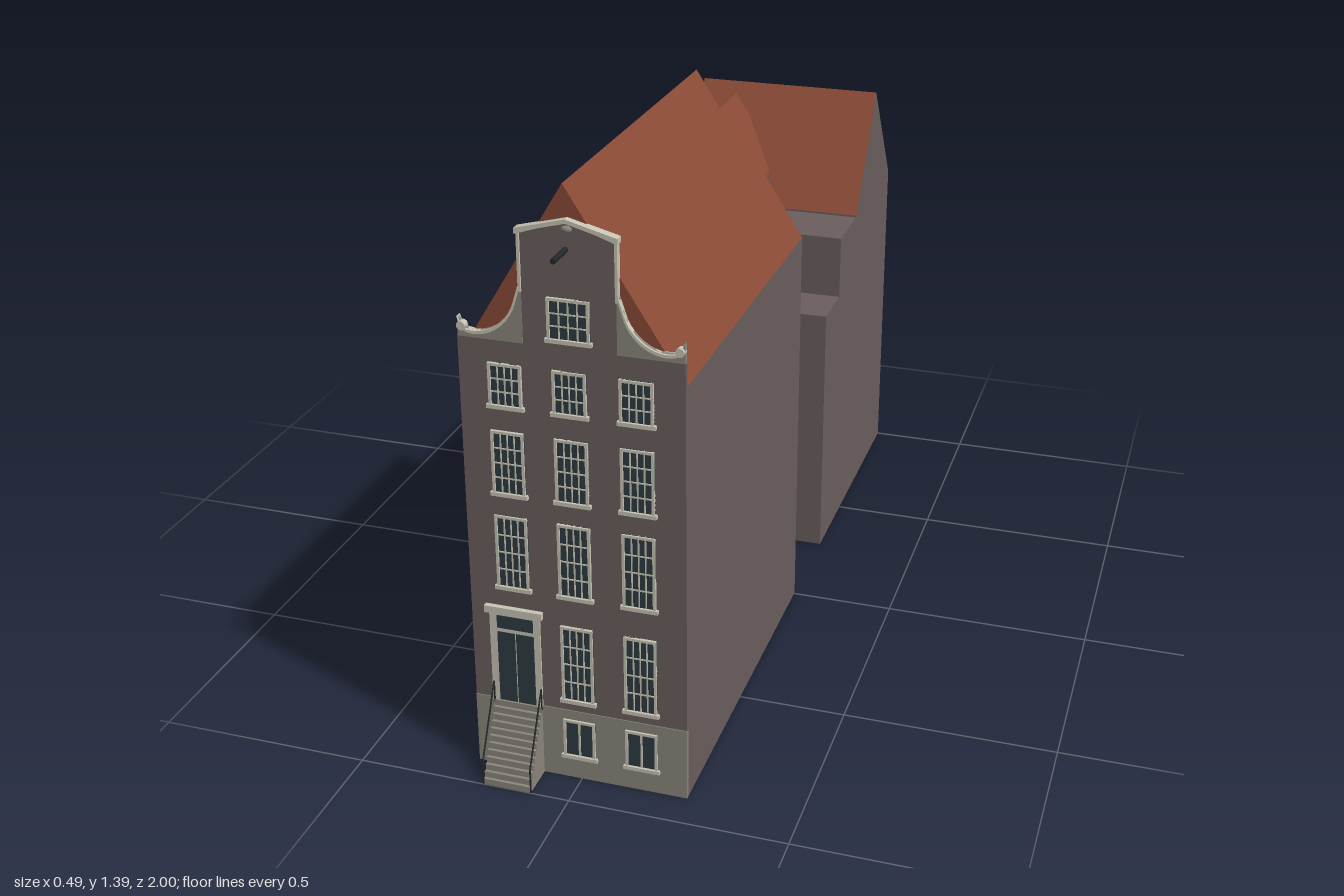
import * as THREE from 'three';

const mat = (name, color) => Object.assign(new THREE.MeshStandardMaterial({ color }), { name });

export function createModel() {
  const brick = mat('brick', 0x6b5e5e);
  const tile = mat('roofTile', 0x8b4b37);
  const stone = mat('stone', 0x8b877b);
  const trim = mat('paintedTrim', 0xc9c6b6);
  const glass = mat('darkGlass', 0x2d3b42);
  const iron = mat('iron', 0x25282b);

  const model = new THREE.Group();
  model.name = 'canalHouse';
  const FRONT = 0.913; // outer face of the facade
  const L = -0.248, R = 0.246;

  const add = (parent, name, geo, material) => {
    const m = new THREE.Mesh(geo, material);
    m.name = name;
    parent.add(m);
    return m;
  };
  const group = (name) => {
    const g = new THREE.Group();
    g.name = name;
    model.add(g);
    return g;
  };
  // box given by its limits
  const box = (parent, name, x0, x1, y0, y1, z0, z1, material) => {
    const geo = new THREE.BoxGeometry(x1 - x0, y1 - y0, z1 - z0);
    geo.translate((x0 + x1) / 2, (y0 + y1) / 2, (z0 + z1) / 2);
    return add(parent, name, geo, material);
  };
  const prism = (pts, z0, z1) => {
    const shape = new THREE.Shape(pts.map(([x, y]) => new THREE.Vector2(x, y)));
    const geo = new THREE.ExtrudeGeometry(shape, { depth: z1 - z0, bevelEnabled: false });
    return geo.translate(0, 0, z0);
  };
  // brick body whose sloping faces (and others picked by normal) are tiled
  const house = (name, geo, alsoTile = () => false) => {
    const n = geo.attributes.normal;
    geo.clearGroups();
    for (let i = 0; i < n.count; i += 3) {
      const sloped = n.getY(i) > 0.2 && n.getY(i) < 0.95;
      geo.addGroup(i, 3, sloped || alsoTile(n.getZ(i)) ? 1 : 0);
    }
    return add(model, name, geo, [brick, tile]);
  };

  // main front house, with a stepped rear wall
  house('frontHouse', prism([[L, 0], [R, 0], [R, 0.99], [-0.01, 1.395], [L, 1.0]], 0.03, 0.905), (z) => z > 0.9);
  house('frontHouseRearStep', prism([[0.05, 0], [R, 0], [R, 0.99], [0.05, 1.3]], -0.004, 0.03));

  // narrow link wing
  house('linkWing', prism([[L, 0], [0.01, 0], [0.01, 0.89], [-0.14, 1.115], [L, 0.95]], -0.29, 0.03));
  house('linkWingRear', prism([[L, 0], [-0.015, 0], [-0.015, 0.927], [-0.14, 1.115], [L, 0.95]], -0.745, -0.29), (z) => z < -0.9);

  // rear house with its ridge across
  house('rearHouse', prism([[0.595, 0], [1, 0], [1, 0.845], [0.797, 1.135], [0.595, 0.845]], L, R).rotateY(Math.PI / 2));

  // stepped flat-roofed annex
  box(model, 'annexLow', -0.02, R, 0, 0.675, -0.425, -0.275, brick);
  box(model, 'annexHigh', -0.02, R, 0, 0.84, -0.6, -0.42, brick);

  // facade
  const facade = group('facade');
  add(facade, 'facadeWall', prism([[L, 0.175], [R, 0.175], [R, 1.045], [0.103, 1.045], [0.103, 1.29],
    [0, 1.318], [-0.103, 1.29], [-0.103, 1.045], [L, 1.045]], 0.903, FRONT), brick);
  box(facade, 'plinth', L, R, 0, 0.175, 0.903, FRONT + 0.002, stone);

  // neck-gable shoulders, edging and cap, mirrored
  for (const s of [-1, 1]) {
    const curve = new THREE.CatmullRomCurve3([[0.245, 1.09], [0.235, 1.068], [0.205, 1.062], [0.165, 1.075],
      [0.13, 1.11], [0.108, 1.17]].map(([x, y]) => new THREE.Vector3(s * x, y, 0)));
    const edge = curve.getPoints(20).map((p) => [p.x, p.y]);
    add(facade, 'shoulder', prism([[s * 0.102, 1.045], [s * 0.246, 1.045], ...edge, [s * 0.102, 1.17]], 0.903, FRONT + 0.001), stone);
    const inner = edge.map(([x, y]) => [x - s * 0.002, y - 0.007]).reverse();
    add(facade, 'shoulderEdging', prism([...edge, ...inner], 0.901, FRONT + 0.006), trim);
    add(facade, 'scroll', new THREE.CylinderGeometry(0.01, 0.01, 0.016, 14).rotateX(Math.PI / 2)
      .translate(s * 0.236, 1.07, FRONT), trim);
    const [a, b] = [s * 0.101, s * 0.107].sort((p, q) => p - q);
    box(facade, 'neckEdging', a, b, 1.16, 1.29, 0.902, FRONT + 0.005, trim);
    add(facade, 'gableCap', prism([[s * 0.11, 1.285], [s * 0.11, 1.297], [s * 0.06, 1.31], [0, 1.326],
      [0, 1.317], [s * 0.06, 1.301], [s * 0.1, 1.287]], 0.901, FRONT + 0.008), trim);
  }
  add(facade, 'gableOrnament', new THREE.SphereGeometry(0.01, 12, 8).scale(1.2, 0.8, 0.7).translate(0, 1.303, FRONT), stone);
  add(facade, 'hoistBeam', new THREE.CylinderGeometry(0.006, 0.006, 0.075, 8).rotateX(Math.PI / 2)
    .translate(-0.003, 1.26, 0.945), iron);

  // sash windows: pane, frame, sill and glazing bars
  const sash = (cx, w, y0, y1, cols, rows, bar = 0.003) => {
    const g = group('window');
    const x0 = cx - w / 2, x1 = cx + w / 2, f = 0.006, z = FRONT;
    box(g, 'pane', x0, x1, y0, y1, z - 0.003, z + 0.003, glass);
    box(g, 'frameLeft', x0, x0 + f, y0, y1, z, z + 0.007, trim);
    box(g, 'frameRight', x1 - f, x1, y0, y1, z, z + 0.007, trim);
    box(g, 'frameTop', x0, x1, y1 - f, y1, z, z + 0.007, trim);
    box(g, 'sill', x0 - 0.005, x1 + 0.005, y0 - 0.003, y0 + f, z, z + 0.009, trim);
    for (let i = 1; i < cols; i++) {
      const x = x0 + f + ((w - 2 * f) * i) / cols;
      box(g, 'uprightBar', x - bar / 2, x + bar / 2, y0, y1, z, z + 0.005, trim);
    }
    for (let j = 1; j < rows; j++) {
      const y = y0 + f + ((y1 - y0 - 2 * f) * j) / rows;
      box(g, 'crossBar', x0, x1, y - bar / 2, y + bar / 2, z, z + 0.005, trim);
    }
  };
  const columns = [-0.145, -0.003, 0.142];
  for (const cx of columns) {
    sash(cx, 0.074, 0.895, 0.995, 4, 3);
    sash(cx, 0.074, 0.69, 0.84, 4, 4);
    sash(cx, 0.074, 0.462, 0.64, 4, 4);
  }
  for (const cx of columns.slice(1)) {
    sash(cx, 0.074, 0.2, 0.39, 4, 4);
    sash(cx, 0.074, 0.055, 0.152, 2, 1, 0.005);
  }
  sash(-0.001, 0.092, 1.06, 1.155, 4, 3);

  // front door with fanlight and cornice
  const door = group('frontDoor');
  box(door, 'surround', -0.206, -0.088, 0.17, 0.4, 0.905, FRONT + 0.004, trim);
  box(door, 'cornice', -0.214, -0.081, 0.398, 0.415, 0.905, FRONT + 0.012, trim);
  box(door, 'fanlight', -0.188, -0.104, 0.36, 0.391, FRONT, FRONT + 0.006, glass);
  for (const x of [-0.188, -0.144]) {
    box(door, 'doorLeaf', x, x + 0.041, 0.175, 0.35, FRONT, FRONT + 0.006, glass);
  }

  // stoop steps
  const stoop = group('stoop');
  const steps = 12, rise = 0.172 / steps, run = 0.087 / steps;
  for (let i = 0; i < steps; i++) {
    box(stoop, 'step', -0.202, -0.09, i * rise, (i + 1) * rise, 0.905, 0.999 - i * run, stone);
  }
  // slim iron railings
  const rod = (a, b) => {
    const path = new THREE.LineCurve3(new THREE.Vector3(...a), new THREE.Vector3(...b));
    add(stoop, 'railing', new THREE.TubeGeometry(path, 1, 0.002, 6), iron);
  };
  for (const x of [-0.202, -0.09]) {
    rod([x, 0, 0.998], [x, 0.06, 0.998]);
    rod([x, 0.06, 0.998], [x, 0.22, 0.917]);
    rod([x, 0.165, 0.917], [x, 0.22, 0.917]);
  }
  return model;
}
